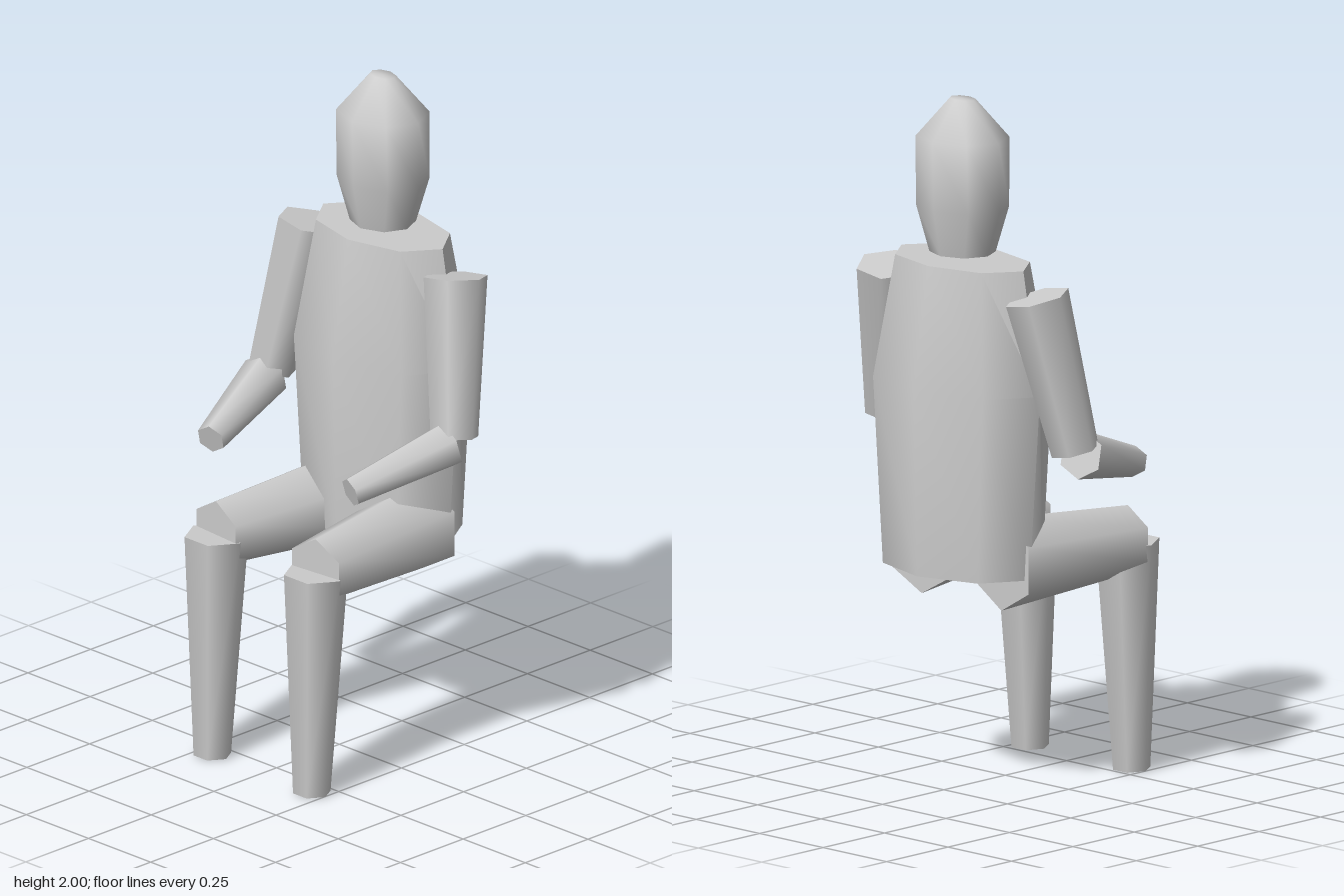
import * as THREE from 'three';
import { toCreasedNormals } from 'three/addons/utils/BufferGeometryUtils.js';

const material = new THREE.MeshStandardMaterial({ color: 0xcccccc });
const BODY_Z = -0.174;

// Eight-sided body from rings [height, x radius, z radius], bottom to top, closed at both ends
function loft(name, rings) {
  const closed = [[rings[0][0], 0, 0], ...rings, [rings.at(-1)[0], 0, 0]];
  const geo = new THREE.LatheGeometry(closed.map(([y, rx]) => new THREE.Vector2(rx, y)), 8);
  const pos = geo.attributes.position;
  for (let i = 0; i < pos.count; i++) {
    const [, rx, rz] = closed[i % closed.length];
    if (rx > 0) pos.setZ(i, pos.getZ(i) * rz / rx);
  }
  const mesh = new THREE.Mesh(toCreasedNormals(geo, 1.13), material);
  mesh.name = name;
  mesh.position.z = BODY_Z;
  return mesh;
}

// Tapered six-sided limb from a to b; one corner of its section points along ref
function limb(name, a, b, ra, rb, ref) {
  const axis = a.clone().sub(b);
  const geo = new THREE.CylinderGeometry(ra, rb, axis.length(), 6);
  axis.normalize();
  const corner = ref.clone().addScaledVector(axis, -ref.dot(axis)).normalize();
  const side = axis.clone().cross(corner);
  const mesh = new THREE.Mesh(geo, material);
  mesh.name = name;
  mesh.quaternion.setFromRotationMatrix(new THREE.Matrix4().makeBasis(side, axis, corner));
  mesh.position.copy(a).add(b).multiplyScalar(0.5);
  return mesh;
}

export function createModel() {
  const group = new THREE.Group();
  group.name = 'seatedFigure';

  group.add(loft('torso', [
    [0.64, 0.265, 0.185],
    [1.18, 0.305, 0.2],
    [1.535, 0.24, 0.14],
  ]));
  group.add(loft('head', [
    [1.555, 0.098, 0.09],
    [1.69, 0.146, 0.118],
    [1.89, 0.142, 0.123],
    [2.0, 0.043, 0.03],
  ]));

  const X = new THREE.Vector3(1, 0, 0);
  const Y = new THREE.Vector3(0, 1, 0);
  for (const [s, side] of [[1, 'left'], [-1, 'right']]) {
    const p = (x, y, z) => new THREE.Vector3(s * x, y, z);
    // Arms, bent forward at the elbow
    group.add(limb(side + 'UpperArm', p(0.293, 1.468, -0.173), p(0.367, 1.02, -0.095), 0.094, 0.07, X));
    group.add(limb(side + 'Forearm', p(0.368, 1.005, -0.072), p(0.281, 0.92, 0.234), 0.07, 0.044, Y));
    // Legs, seated
    group.add(limb(side + 'Thigh', p(0.157, 0.67, -0.178), p(0.2, 0.67, 0.293), 0.135, 0.1, Y));
    group.add(limb(side + 'Shin', p(0.2, 0.668, 0.291), p(0.2, 0.002, 0.308), 0.094, 0.055, X));
  }
  return group;
}
